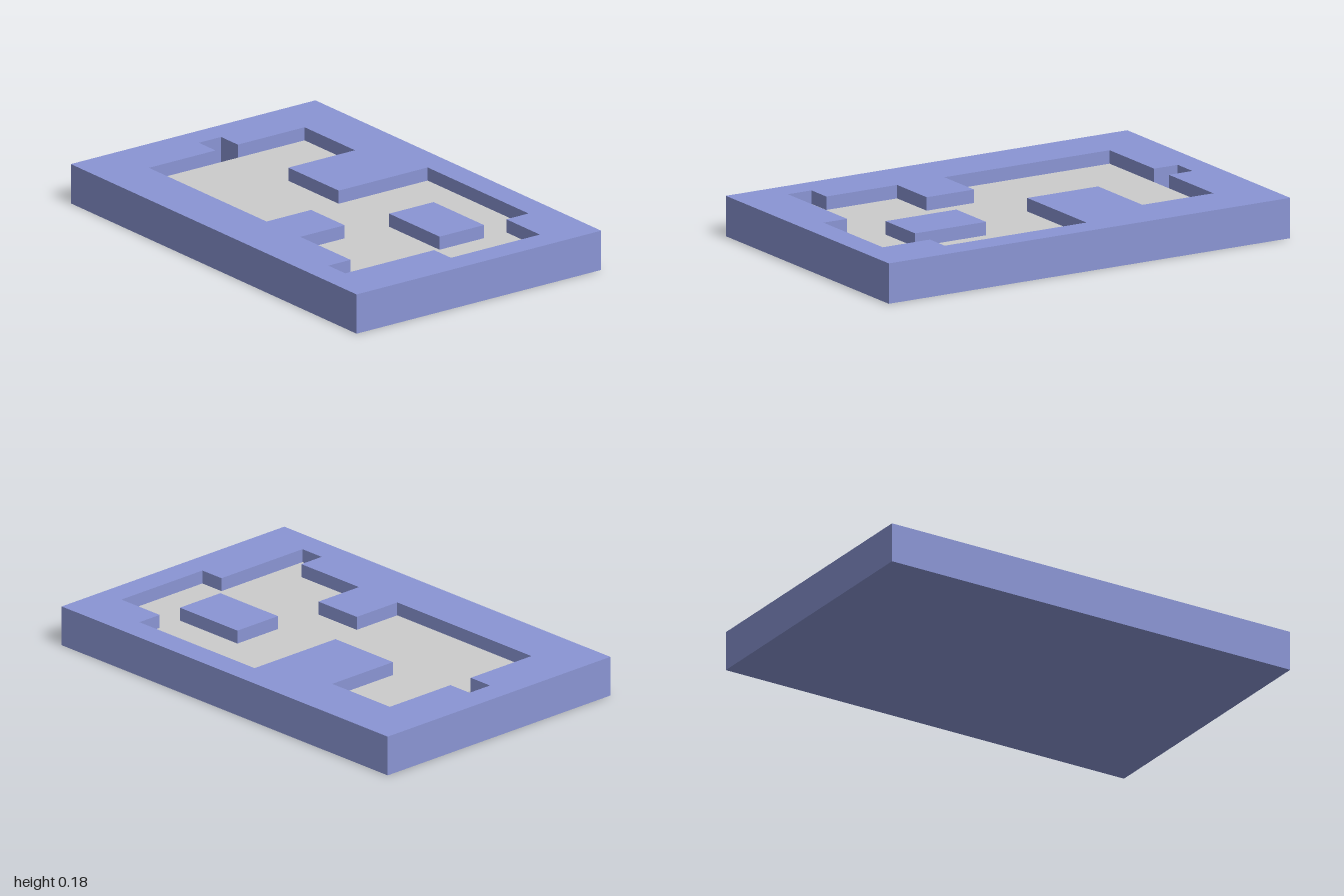
import * as THREE from 'three';
import { mergeGeometries } from 'three/addons/utils/BufferGeometryUtils.js';

const U = 2 / 17;                       // grid module
const HEIGHT = 1.5 * U, FLOOR = 0.5 * U, INLAY = 0.5 * U;

// Outlines as [x, z] in grid modules, walked with the pocket on the right-hand side
const inlayOutline = [
  [3.5, -6.5], [3.5, -3.5], [0.5, -3.5], [0.5, -0.5], [4.5, -0.5], [4.5, 5.5],
  [3.5, 5.5], [3.5, 7.5], [-0.5, 7.5], [-0.5, 6.5], [-4.5, 6.5], [-4.5, 5.5],
  [-3.5, 5.5], [-3.5, 2.5], [-1.5, 2.5], [-1.5, 0.5], [-3.5, 0.5], [-3.5, -6.5],
];
// The pocket follows the inlay and adds a small notch at the back
const pocketOutline = [...inlayOutline, [-0.5, -6.5], [-0.5, -7.5], [0.5, -7.5], [0.5, -6.5]];
const islandOutline = [[0.5, 2.5], [0.5, 5.5], [2.5, 5.5], [2.5, 2.5]];
const rimOutline = [[-5.5, -8.5], [5.5, -8.5], [5.5, 8.5], [-5.5, 8.5]];

const toPoints = (outline) => outline.map(([x, z]) => new THREE.Vector2(x * U, -z * U));

function makeShape(outline, ...holes) {
  const shape = new THREE.Shape(toPoints(outline));
  shape.holes = holes.map((h) => new THREE.Path(toPoints(h)));
  return shape;
}

// Flat upward-facing surface at height y
const flat = (shape, y) => new THREE.ShapeGeometry(shape).rotateX(-Math.PI / 2).translate(0, y, 0);

// Vertical walls along a closed outline
function walls(outline, y0, y1) {
  const pos = [];
  outline.forEach(([ax, az], i) => {
    const [bx, bz] = outline[(i + 1) % outline.length];
    const a0 = [ax * U, y0, az * U], b0 = [bx * U, y0, bz * U];
    const a1 = [ax * U, y1, az * U], b1 = [bx * U, y1, bz * U];
    pos.push(...a0, ...b0, ...b1, ...a0, ...b1, ...a1);
  });
  const geo = new THREE.BufferGeometry();
  geo.setAttribute('position', new THREE.Float32BufferAttribute(pos, 3));
  return geo;
}

// Join surfaces into one sharp-edged geometry
function join(parts) {
  const geo = mergeGeometries(parts.map((p) => {
    const g = p.index ? p.toNonIndexed() : p;
    g.deleteAttribute('uv');
    g.deleteAttribute('normal');
    return g;
  }));
  geo.computeVertexNormals();
  return geo;
}

export function createModel() {
  const group = new THREE.Group();
  const add = (name, geometry, color) => {
    const mesh = new THREE.Mesh(geometry, new THREE.MeshStandardMaterial({ color }));
    mesh.name = name;
    group.add(mesh);
  };

  // Outer block, left open on top
  const block = new THREE.BoxGeometry(11 * U, HEIGHT, 17 * U).translate(0, HEIGHT / 2, 0);
  const index = Array.from(block.index.array);
  index.splice(12, 6);
  block.setIndex(index);

  // Tray: block, rim, pocket floor and walls, raised island
  add('tray', join([
    block,
    flat(makeShape(rimOutline, pocketOutline), HEIGHT),
    flat(makeShape(pocketOutline, islandOutline), FLOOR),
    flat(makeShape(islandOutline), HEIGHT),
    walls(pocketOutline, FLOOR, HEIGHT),
    walls(islandOutline, FLOOR, HEIGHT),
  ]), 0x8a95d4);

  // Grey inlay lying in the pocket around the island
  const inlay = new THREE.ExtrudeGeometry(makeShape(inlayOutline, islandOutline), {
    depth: INLAY, bevelEnabled: false,
  });
  add('inlay', inlay.rotateX(-Math.PI / 2).translate(0, FLOOR, 0), 0xcccccc);

  return group;
}
